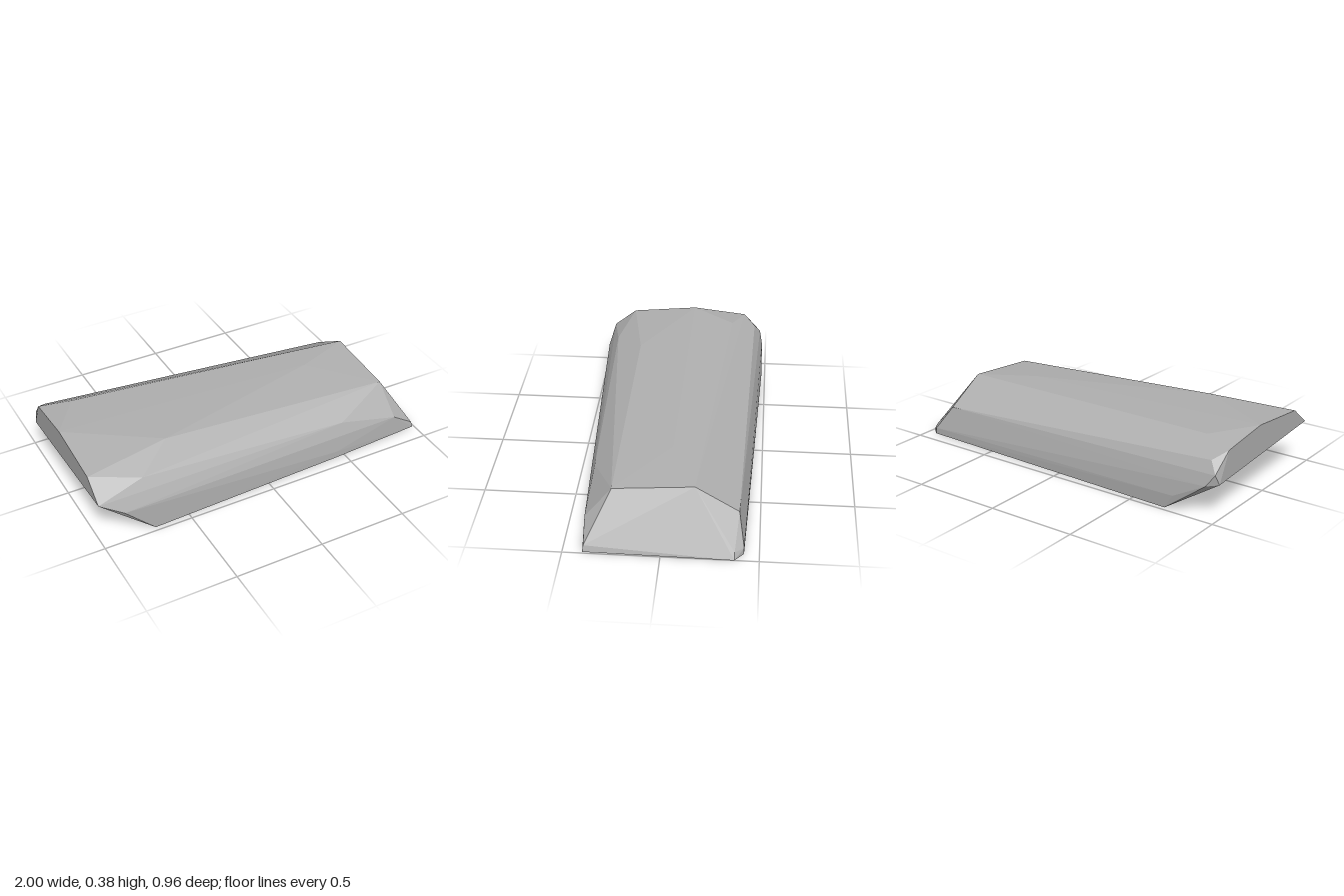
import * as THREE from 'three';
import { ConvexGeometry } from 'three/addons/geometries/ConvexGeometry.js';

// Corner points of the faceted slab, [x, y, z], grouped by region
const blunt = [ // overhanging end
  [-1, 0.385, -0.05], [-1, 0.35, -0.36], [-0.94, 0.305, -0.425], [-0.985, 0.245, -0.46],
  [-1, 0.19, -0.44], [-1, 0.25, 0.452], [-1, 0.35, 0.325],
];
const crown = [ // top and shoulders
  [-0.83, 0.375, -0.29], [-0.52, 0.366, 0.245], [-0.73, 0.3, 0.405], [0.5, 0.337, -0.03],
];
const flanks = [ // long sides
  [-0.87, 0.172, 0.48], [0.5, 0.2, 0.39], [0.45, 0.04, 0.43], [0.85, 0.12, 0.4],
  [-0.94, 0.18, -0.475], [-0.75, 0.08, -0.48],
];
const wedge = [ // sloping end
  [0.83, 0.288, 0.26], [0.83, 0.32, -0.165], [0.83, 0.18, -0.392],
  [0.94, 0.035, -0.422], [0.98, 0.035, -0.375], [0.98, 0.035, 0.393],
];
const base = [ // flat underside
  [-0.7, 0, 0.475], [-0.7, 0, -0.475], [0.45, 0, 0.43],
  [0.99, 0, 0.397], [1, 0, -0.375], [0.945, 0, -0.422],
];

export function createModel() {
  const group = new THREE.Group();
  group.name = 'rock';

  const stone = new THREE.MeshStandardMaterial({ color: 0xb0b0b0 });
  stone.name = 'stone grey';
  stone.flatShading = true;

  const points = [...blunt, ...crown, ...flanks, ...wedge, ...base]
    .map((p) => new THREE.Vector3(...p));
  const slab = new THREE.Mesh(new ConvexGeometry(points), stone);
  slab.name = 'stoneSlab';
  group.add(slab);
  return group;
}
